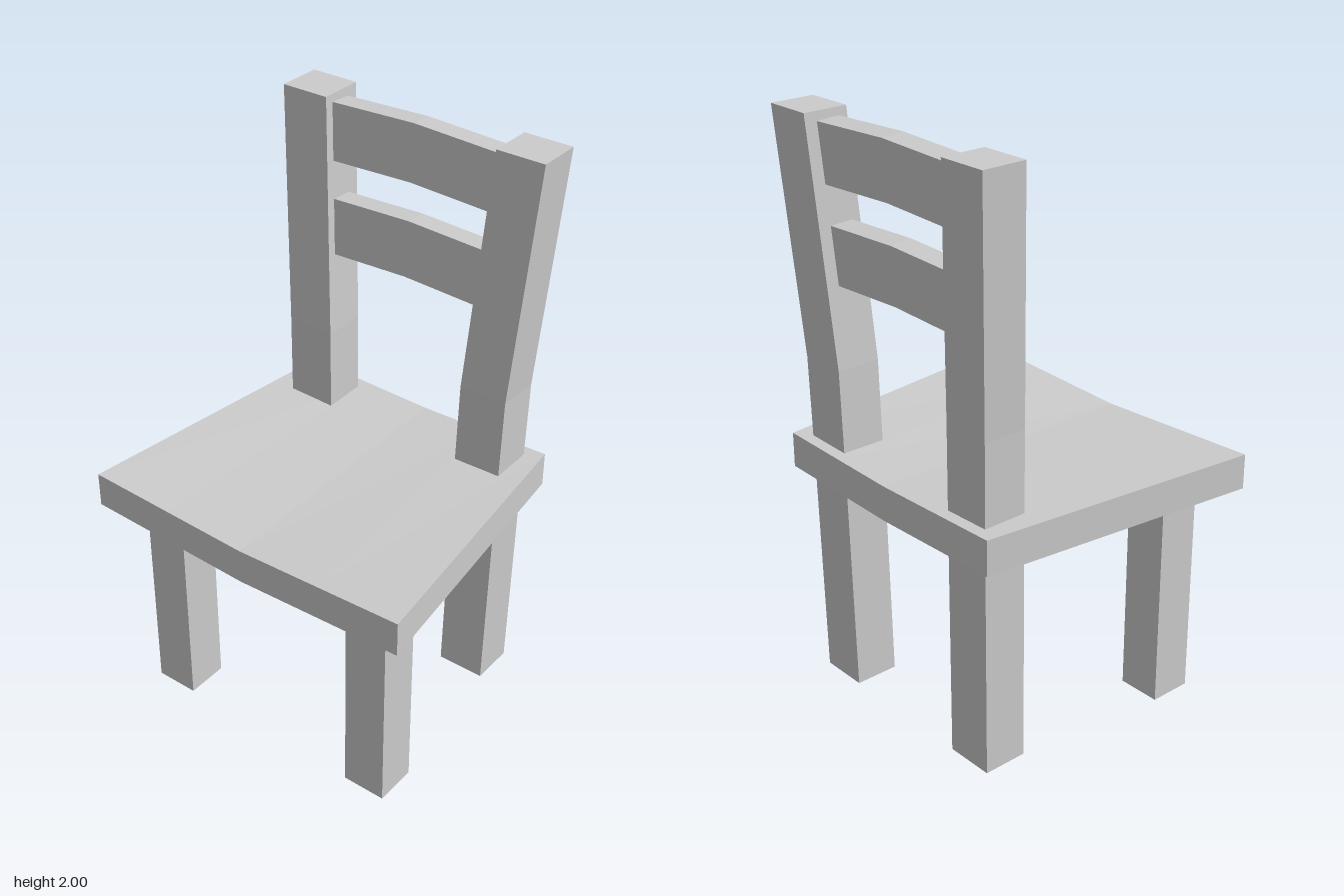
import * as THREE from 'three';

const material = new THREE.MeshStandardMaterial({ color: 0xcccccc, flatShading: true });

function addMesh(parent, name, geometry) {
  geometry.computeVertexNormals();
  const mesh = new THREE.Mesh(geometry, material);
  mesh.name = name;
  parent.add(mesh);
  return mesh;
}

// Moves every vertex of a geometry by a rule that edits the point in place
function reshape(geometry, rule) {
  const pos = geometry.attributes.position;
  const p = new THREE.Vector3();
  for (let i = 0; i < pos.count; i++) {
    rule(p.fromBufferAttribute(pos, i));
    pos.setXYZ(i, p.x, p.y, p.z);
  }
  return geometry;
}

// Back post: box levels follow a list of [y, centre x, centre z]
function backPostGeometry(side) {
  const levels = [[0, 0.338, -0.363], [0.83, 0.348, -0.374], [1.17, 0.354, -0.379], [2, 0.406, -0.427]];
  const last = levels.length - 1;
  return reshape(new THREE.BoxGeometry(0.172, 1, 0.156, 1, last, 1), (p) => {
    const [y, x, z] = levels[Math.round((p.y + 0.5) * last)];
    p.set(p.x + side * x, y, p.z + z);
  });
}

// Seat: tapers to the back and dips along the middle, deeper at the front
function seatGeometry() {
  return reshape(new THREE.BoxGeometry(2, 0.122, 1, 4, 1, 1), (p) => {
    const front = p.z + 0.5;
    const dip = THREE.MathUtils.lerp(0.012, 0.025, front) * (0.5 + 0.5 * Math.cos(Math.PI * p.x));
    p.set(p.x * THREE.MathUtils.lerp(0.492, 0.61, front), p.y + 0.829 - dip, p.z + 0.005);
  });
}

// Slat: gently arched upward in the middle
function slatGeometry() {
  return reshape(new THREE.BoxGeometry(0.72, 0.196, 0.08, 4, 1, 1), (p) => {
    p.y += 0.014 * (0.5 + 0.5 * Math.cos((Math.PI * p.x) / 0.36));
  });
}

export function createModel() {
  const chair = new THREE.Group();
  chair.name = 'chair';

  addMesh(chair, 'seat', seatGeometry());

  for (const [label, side] of [['left', 1], ['right', -1]]) {
    // Straight front legs
    const leg = addMesh(chair, label + 'FrontLeg', new THREE.BoxGeometry(0.154, 0.8, 0.15));
    leg.position.set(side * 0.418, 0.4, 0.329);

    // Back legs rising into the backrest posts
    addMesh(chair, label + 'BackPost', backPostGeometry(side));
  }

  // Two slats leaning with the posts
  for (const [name, y, z] of [['upperSlat', 1.872, -0.414], ['lowerSlat', 1.545, -0.395]]) {
    const slat = addMesh(chair, name, slatGeometry());
    slat.position.set(0, y, z);
    slat.rotation.x = -0.06;
  }

  return chair;
}
